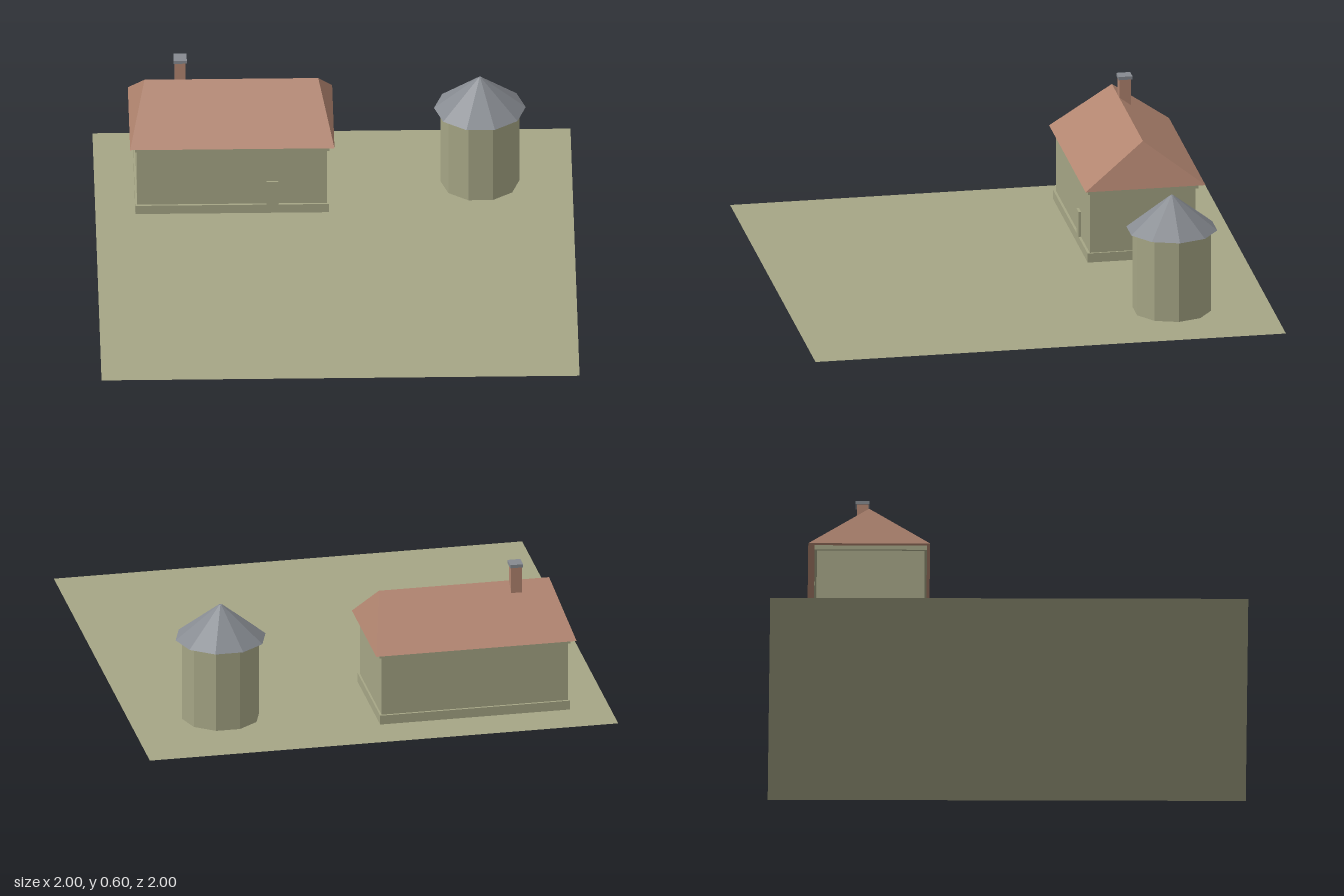
import * as THREE from 'three';

const mat = (name, color) => {
  const m = new THREE.MeshStandardMaterial({ color, flatShading: true, side: THREE.DoubleSide });
  m.name = name;
  return m;
};

export function createModel() {
  const olive = mat('olive plaster', 0xa5a585);
  const clay = mat('clay tile', 0xb28570);
  const slate = mat('slate grey', 0x868a90);

  const add = (parent, name, geometry, material, x = 0, y = 0, z = 0) => {
    const mesh = new THREE.Mesh(geometry, material);
    mesh.name = name;
    mesh.position.set(x, y, z);
    parent.add(mesh);
    return mesh;
  };
  // Box given by its lower and upper corners
  const box = (parent, name, material, [x0, y0, z0], [x1, y1, z1]) =>
    add(parent, name, new THREE.BoxGeometry(x1 - x0, y1 - y0, z1 - z0), material,
      (x0 + x1) / 2, (y0 + y1) / 2, (z0 + z1) / 2);

  const model = new THREE.Group();
  model.name = 'farmyard';

  // Flat ground sheet
  add(model, 'ground', new THREE.PlaneGeometry(2, 2).rotateX(-Math.PI / 2), olive);

  // House: plinth, walls, cornice, doorstep block
  const house = new THREE.Group();
  house.name = 'house';
  model.add(house);
  box(house, 'plinth', olive, [-0.833, 0, -0.813], [-0.022, 0.04, -0.343]);
  box(house, 'walls', olive, [-0.825, 0, -0.803], [-0.03, 0.31, -0.353]);
  box(house, 'cornice', olive, [-0.835, 0.3, -0.813], [-0.02, 0.32, -0.343]);
  box(house, 'door', olive, [-0.285, 0, -0.355], [-0.235, 0.15, -0.343]);

  // Hipped roof: four eave corners and a two-point ridge
  const roof = new THREE.BufferGeometry();
  roof.setAttribute('position', new THREE.Float32BufferAttribute([
    -0.855, 0.32, -0.33, 0, 0.32, -0.33, 0, 0.32, -0.84, -0.855, 0.32, -0.84,
    -0.79, 0.51, -0.585, -0.063, 0.51, -0.585,
  ], 3));
  roof.setIndex([0, 1, 5, 0, 5, 4, 1, 2, 5, 2, 3, 4, 2, 4, 5, 3, 0, 4, 0, 3, 2, 0, 2, 1]);
  const roofFlat = roof.toNonIndexed();
  roofFlat.computeVertexNormals();
  add(house, 'houseRoof', roofFlat, clay);

  // Chimney with a grey cap
  box(house, 'chimney', clay, [-0.663, 0.42, -0.635], [-0.618, 0.588, -0.587]);
  box(house, 'chimneyCap', slate, [-0.668, 0.588, -0.641], [-0.613, 0.602, -0.582]);

  // Ten-sided tower with a pointed roof
  const tower = new THREE.Group();
  tower.name = 'tower';
  tower.position.set(0.613, 0, -0.585);
  tower.rotation.y = Math.PI / 2;
  model.add(tower);
  add(tower, 'towerWall', new THREE.CylinderGeometry(0.165, 0.165, 0.36, 10), olive, 0, 0.18, 0);
  add(tower, 'towerRoof', new THREE.CylinderGeometry(0.007, 0.192, 0.147, 10), slate, 0, 0.4315, 0);

  return model;
}
